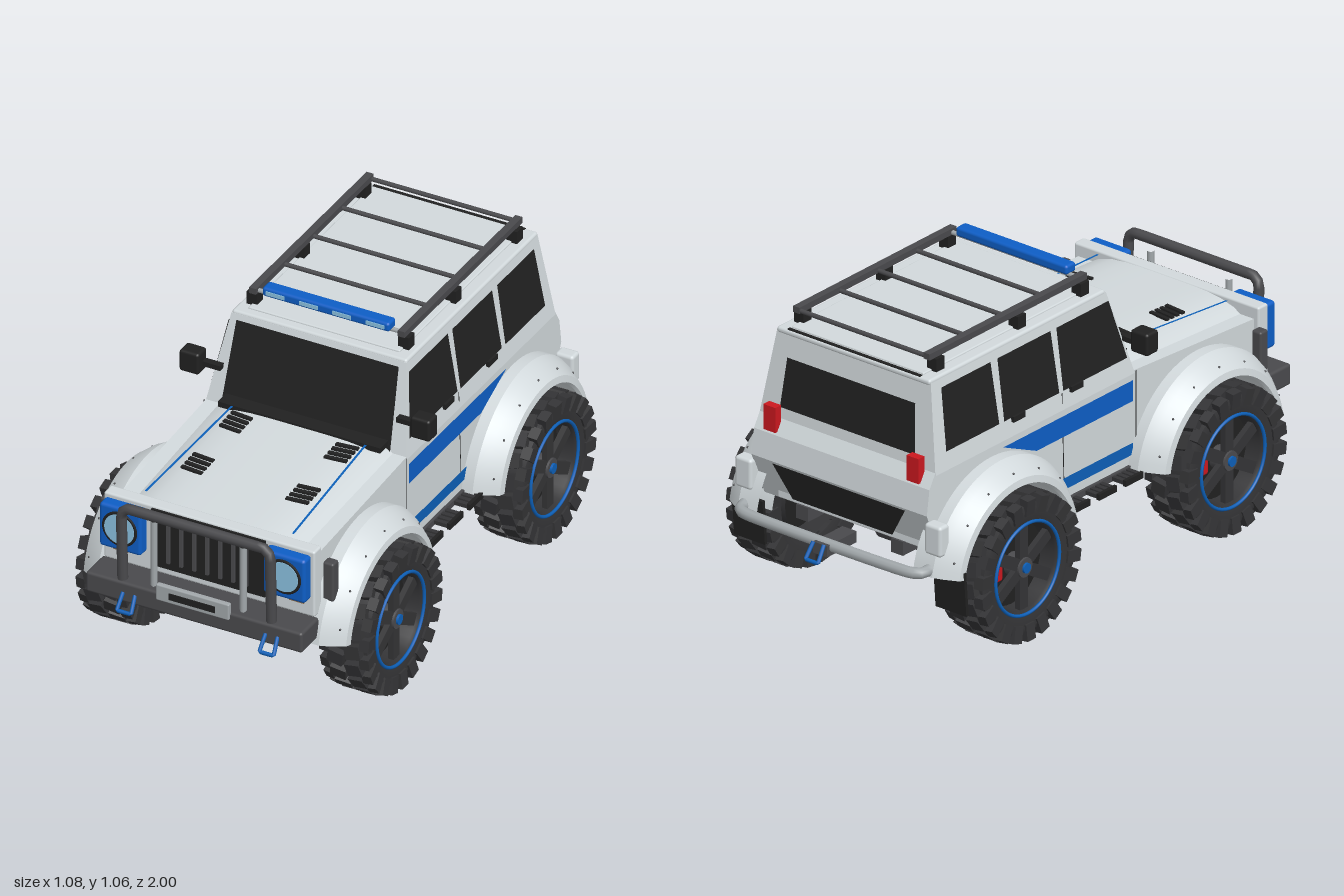
import * as THREE from 'three';
import { mergeGeometries, toCreasedNormals } from 'three/addons/utils/BufferGeometryUtils.js';
import { RoundedBoxGeometry } from 'three/addons/geometries/RoundedBoxGeometry.js';

const mat = (name, color, side = THREE.FrontSide) => {
  const m = new THREE.MeshStandardMaterial({ color, side });
  m.name = name;
  return m;
};

export function createModel() {
  const car = new THREE.Group();
  car.name = 'offRoadCar';
  const D = THREE.DoubleSide;
  const paint = mat('palePaint', 0xd2d9dc, D), blue = mat('blue', 0x0e5ec6, D), accent = mat('accentBlue', 0x0d60b8, D);
  const black = mat('black', 0x212121, D), dark = mat('darkMetal', 0x4a4a4d, D), rubber = mat('rubber', 0x343436, D);
  const grey = mat('greyMetal', 0xa2a8ab), lamp = mat('lampGlass', 0x8cc2e2), red = mat('red', 0xcc181f), bronze = mat('bronze', 0x8f6c4a);

  const add = (name, geo, m, x = 0, y = 0, z = 0, parent = car) => {
    const mesh = new THREE.Mesh(geo, m);
    mesh.name = name;
    mesh.position.set(x, y, z);
    parent.add(mesh);
    return mesh;
  };
  const box = (name, m, w, h, d, x, y, z, r = 0) =>
    add(name, r ? new RoundedBoxGeometry(w, h, d, 2, r) : new THREE.BoxGeometry(w, h, d), m, x, y, z);
  const both = (f) => [1, -1].forEach(f);
  const tube = (name, m, pts, r, tension = 0.05) => add(name, new THREE.TubeGeometry(
    new THREE.CatmullRomCurve3(pts.map((p) => new THREE.Vector3(...p)), false, 'catmullrom', tension), pts.length * 8, r, 10), m);
  // Thin four-cornered plate given by its corners
  const plate = (name, m, pts) => {
    const g = new THREE.BufferGeometry();
    g.setAttribute('position', new THREE.Float32BufferAttribute(pts.flat(), 3));
    g.setIndex([0, 1, 2, 0, 2, 3]);
    g.computeVertexNormals();
    return add(name, g, m);
  };

  // Lower body with wheel arches cut out, drawn as (z, y)
  const s = new THREE.Shape();
  const a = Math.asin(0.1 / 0.28);
  s.moveTo(-0.825, 0.36);
  s.absarc(-0.525, 0.26, 0.28, Math.PI - a, a, true);
  s.absarc(0.52, 0.26, 0.28, Math.PI - a, a, true);
  [[0.82, 0.38], [0.82, 0.62], [0.2, 0.66], [-0.81, 0.66], [-0.84, 0.61], [-0.853, 0.52]].forEach((p) => s.lineTo(...p));
  const tub = new THREE.ExtrudeGeometry(s, { depth: 0.74, bevelEnabled: false, curveSegments: 24 });
  tub.rotateY(-Math.PI / 2).translate(0.37, 0, 0);
  add('lowerBody', tub, paint);
  box('innerBody', paint, 0.6, 0.22, 1.6, 0, 0.48, 0);

  // Cabin tapering to the roof
  const sideX = (y) => 0.37 - (y - 0.66) * 0.155;
  const frontZ = (y) => 0.2 - (y - 0.66) * 0.29;
  const rearZ = (y) => -0.81 + (y - 0.66) * 0.11;
  const cabin = new THREE.BoxGeometry(1, 1, 1);
  const cp = cabin.attributes.position;
  for (let i = 0; i < cp.count; i++) {
    const y = cp.getY(i) > 0 ? 0.96 : 0.65;
    cp.setXYZ(i, Math.sign(cp.getX(i)) * sideX(y), y, cp.getZ(i) > 0 ? frontZ(y) : rearZ(y));
  }
  cabin.computeVertexNormals();
  add('cabin', cabin, paint);
  box('roof', paint, 0.648, 0.022, 0.895, 0, 0.958, -0.335, 0.01);
  box('roofCrown', paint, 0.56, 0.012, 0.84, 0, 0.969, -0.34, 0.005);
  box('rearRoofSlot', black, 0.56, 0.006, 0.012, 0, 0.968, -0.772);

  // Glass
  const e = 0.005;
  const across = (name, m, y0, y1, w0, w1, zAt) => plate(name, m,
    [[-w0, y0, zAt(y0)], [w0, y0, zAt(y0)], [w1, y1, zAt(y1)], [-w1, y1, zAt(y1)]]);
  across('windscreen', black, 0.665, 0.943, 0.312, 0.3, (y) => frontZ(y) + e);
  across('rearWindow', black, 0.7, 0.875, 0.285, 0.27, (y) => rearZ(y) - e);
  across('rearLowerPanel', black, 0.4, 0.515, 0.21, 0.28, (y) => -0.829 - (y - 0.36) * 0.175);
  box('cowl', black, 0.6, 0.02, 0.075, 0, 0.69, 0.212);
  both((k) => {
    const side = (name, m, q) => plate(name, m, q.map(([z, y]) => [k * ((y > 0.66 ? sideX(y) : 0.37) + e), y, z]));
    side('frontDoorWindow', black, [[0.17, 0.715], [-0.155, 0.715], [-0.15, 0.93], [0.115, 0.93]]);
    side('rearDoorWindow', black, [[-0.175, 0.715], [-0.455, 0.715], [-0.45, 0.93], [-0.18, 0.93]]);
    side('cargoWindow', black, [[-0.48, 0.715], [-0.75, 0.715], [-0.735, 0.93], [-0.485, 0.93]]);
    side('sideStripe', blue, [[0.19, 0.555], [-0.3, 0.555], [-0.47, 0.63], [0.19, 0.63]]);
    side('sillStripe', accent, [[0.19, 0.363], [-0.2, 0.363], [-0.2, 0.405], [0.19, 0.405]]);
    side('frontDoorSeam', black, [[0.207, 0.4], [0.203, 0.4], [0.203, 0.66], [0.207, 0.66]]);
    side('middleDoorSeam', black, [[-0.16, 0.4], [-0.164, 0.4], [-0.164, 0.71], [-0.16, 0.71]]);
    for (const z of [-0.09, -0.385]) box('doorHandle', black, 0.016, 0.02, 0.06, k * 0.366, 0.708, z);
    // Mirrors, lamps and corner blocks
    box('mirror', black, 0.073, 0.08, 0.06, k * 0.427, 0.79, 0.185, 0.01);
    box('mirrorArm', black, 0.09, 0.018, 0.025, k * 0.37, 0.783, 0.175);
    box('tailLight', red, 0.05, 0.09, 0.03, k * 0.302, 0.665, -0.829);
    box('rearCornerBlock', paint, 0.07, 0.11, 0.05, k * 0.4, 0.445, -0.838, 0.012);
    box('headlightFrame', blue, 0.155, 0.165, 0.05, k * 0.303, 0.572, 0.885, 0.012);
    const ring = add('headlightRing', new THREE.TorusGeometry(0.059, 0.006, 8, 32), black, k * 0.303, 0.575, 0.911);
    ring.scale.z = 0.6;
    add('headlight', new THREE.CylinderGeometry(0.055, 0.057, 0.008, 32).rotateX(Math.PI / 2), lamp, k * 0.303, 0.575, 0.911);
    box('turnSignal', bronze, 0.055, 0.02, 0.01, k * 0.325, 0.47, 0.86);
    box('fenderLamp', dark, 0.04, 0.145, 0.04, k * 0.412, 0.53, 0.79, 0.008);
    box('mudFlap', black, 0.13, 0.16, 0.012, k * 0.425, 0.255, -0.797).rotation.x = -0.08;
    // Hood trim and vents
    plate('hoodStripe', accent, [[0.243, 0.698, 0.25], [0.251, 0.698, 0.25], [0.276, 0.664, 0.79], [0.268, 0.664, 0.79]]
      .map(([x, y, z]) => [k * x, y, z]));
    for (const z0 of [0.28, 0.54]) for (let i = 0; i < 4; i++)
      box('hoodVent', black, 0.08, 0.008, 0.014, k * 0.195, 0.695 - (z0 + i * 0.026 - 0.25) * 0.06, z0 + i * 0.026).rotation.y = k * 0.1;
    // Sills and side steps
    box('sill', paint, 0.04, 0.035, 0.45, k * 0.35, 0.345, 0);
    box('sillRail', dark, 0.04, 0.022, 0.5, k * 0.36, 0.318, 0);
    for (const z of [-0.15, -0.015, 0.12]) {
      for (const d of [-0.036, -0.012, 0.012, 0.036]) box('stepBar', rubber, 0.085, 0.014, 0.016, k * 0.395, 0.318, z + d);
      box('stepEdge', black, 0.012, 0.022, 0.09, k * 0.434, 0.318, z);
    }
  });

  // Hood, crowned and falling away at the sides
  const hood = new THREE.BoxGeometry(0.72, 0.06, 0.63, 12, 1, 6);
  const hp = hood.attributes.position;
  for (let i = 0; i < hp.count; i++) {
    const x = hp.getX(i), z = hp.getZ(i) + 0.515, n = Math.abs(x) / 0.36, t = (z - 0.2) / 0.63;
    hp.setXYZ(i, x * (1 - 0.05 * t), hp.getY(i) > 0 ? 0.696 - 0.036 * t - 0.06 * n ** 5 : 0.6, z);
  }
  hood.computeVertexNormals();
  add('hood', toCreasedNormals(hood, 0.6), paint);

  // Grille and front bumper
  box('grillePanel', paint, 0.78, 0.25, 0.05, 0, 0.54, 0.835, 0.008);
  box('grille', black, 0.42, 0.215, 0.01, 0, 0.55, 0.862);
  for (let i = -3; i <= 3; i++) box('grilleSlat', dark, 0.011, 0.17, 0.012, i * 0.048, 0.555, 0.87);
  box('grilleCrossbar', dark, 0.33, 0.01, 0.012, 0, 0.625, 0.87);
  box('frontBumper', dark, 0.8, 0.076, 0.12, 0, 0.375, 0.905, 0.01);
  box('skidPlate', dark, 0.36, 0.05, 0.08, 0, 0.318, 0.8);
  tube('bullBar', dark, [[-0.275, 0.4, 0.94], [-0.275, 0.665, 0.95], [-0.25, 0.69, 0.95], [0.25, 0.69, 0.95], [0.275, 0.665, 0.95], [0.275, 0.4, 0.94]], 0.018);
  both((k) => tube('innerBar', grey, [[k * 0.165, 0.4, 0.93], [k * 0.165, 0.66, 0.93]], 0.012));
  box('winchPlate', grey, 0.27, 0.06, 0.02, 0, 0.42, 0.965, 0.005);
  box('winchSlot', black, 0.17, 0.024, 0.008, 0, 0.418, 0.974);
  const hook = (name, x, y, z, dir) => tube(name, accent, [[x - 0.022, y + 0.03, z], [x - 0.026, y - 0.022, z + dir * 0.035],
    [x + 0.026, y - 0.022, z + dir * 0.035], [x + 0.022, y + 0.03, z]], 0.007);
  for (const x of [-0.24, 0.287]) hook('frontTowHook', x, 0.345, 0.962, 1);

  // Rear bumper and hitch
  tube('rearBumper', grey, [[-0.4, 0.38, -0.78], [-0.39, 0.34, -0.86], [-0.33, 0.335, -0.915], [0.33, 0.335, -0.915], [0.39, 0.34, -0.86], [0.4, 0.38, -0.78]], 0.02, 0.3);
  box('hitch', dark, 0.06, 0.04, 0.15, 0, 0.325, -0.875);
  hook('rearTowHook', 0, 0.32, -0.957, -1);

  // Roof rack and light bar
  both((k) => {
    box('rackRail', dark, 0.026, 0.022, 0.8, k * 0.275, 1.026, -0.34);
    for (const z of [0.035, -0.285, -0.7]) box('rackFoot', black, 0.04, 0.05, 0.04, k * 0.28, 0.99, z);
  });
  for (const z of [0.04, -0.14, -0.335, -0.53, -0.73])
    add('rackCrossbar', new THREE.CylinderGeometry(0.008, 0.008, 0.55, 10).rotateZ(Math.PI / 2), z > 0 ? grey : dark, 0, 1.022, z);
  box('lightBar', blue, 0.47, 0.034, 0.05, 0, 1.041, 0.045, 0.01);
  for (let i = 0; i < 4; i++) box('lightBarLamp', lamp, 0.068, 0.014, 0.006, -0.185 + i * 0.123, 1.041, 0.07);

  // Underside
  box('floorPlate', black, 0.6, 0.05, 0.52, 0, 0.335, 0);
  both((k) => box('frameRail', dark, 0.05, 0.05, 1.6, k * 0.2, 0.34, 0));
  const barX = (name, m, r, len, x, y, z) => add(name, new THREE.CylinderGeometry(r, r, len, 20).rotateZ(Math.PI / 2), m, x, y, z);
  for (const z of [0.52, -0.525]) {
    barX('axle', dark, 0.03, 0.84, 0, 0.265, z);
    barX('differential', dark, 0.055, 0.155, 0, 0.248, z);
  }
  add('differentialCover', new THREE.CylinderGeometry(0.04, 0.04, 0.05, 24).rotateX(Math.PI / 2), bronze, 0, 0.258, 0.552);
  barX('muffler', dark, 0.045, 0.3, 0, 0.32, -0.33);
  tube('steeringLink', grey, [[0.22, 0.325, 0.6], [0.36, 0.28, 0.6]], 0.013);
  box('winchMotor', black, 0.17, 0.07, 0.025, -0.355, 0.297, 0.795);

  // Wheels, built around the y axis and then turned outwards
  const V = (p) => p.map((q) => new THREE.Vector2(...q));
  const tyreGeo = toCreasedNormals(new THREE.LatheGeometry(V([[0.165, -0.07], [0.21, -0.08], [0.23, -0.074], [0.237, 0], [0.23, 0.074], [0.21, 0.08], [0.165, 0.07]]), 48), 0.7);
  const lugs = [], N = 22;
  for (let i = 0; i < N; i++) for (const h of [-1, 1]) {
    const turn = ((i + (h > 0 ? 0.5 : 0)) / N) * Math.PI * 2;
    lugs.push(new THREE.BoxGeometry(0.03, 0.056, 0.05).rotateX(h * 0.2).translate(0.243, h * 0.032, 0).rotateY(turn));
    lugs.push(new THREE.BoxGeometry(0.058, 0.034, 0.042).rotateZ(h * 0.12).translate(0.225, h * 0.071, 0).rotateY(turn + Math.PI / N));
  }
  const lugGeo = mergeGeometries(lugs);
  const spokeGeo = mergeGeometries([0, 1, 2, 3, 4, 5].map((i) =>
    new THREE.BoxGeometry(0.135, 0.02, 0.042).translate(0.09, 0.048, 0).rotateY((i * Math.PI) / 3)));
  const rimGeo = new THREE.LatheGeometry(V([[0.145, -0.07], [0.15, 0.06], [0.167, 0.072]]), 40);
  // Fender flare cross-section as (radius, outward distance)
  const flareGeo = toCreasedNormals(new THREE.LatheGeometry(V([[0.355, 0.33], [0.355, 0.41], [0.34, 0.44], [0.305, 0.485],
    [0.282, 0.49], [0.275, 0.48], [0.275, 0.33]]), 32, Math.PI + 0.17, Math.PI - 0.34), 0.45).rotateZ(-Math.PI / 2);
  for (const z of [0.52, -0.525]) both((k) => {
    const wheel = new THREE.Group();
    wheel.name = 'wheel';
    wheel.position.set(k * 0.45, 0.26, z);
    wheel.rotation.z = (-k * Math.PI) / 2;
    car.add(wheel);
    add('tyre', tyreGeo, rubber, 0, 0, 0, wheel);
    add('tread', lugGeo, rubber, 0, 0, 0, wheel);
    add('rim', rimGeo, rubber, 0, 0, 0, wheel);
    add('brakeDisc', new THREE.CylinderGeometry(0.147, 0.147, 0.01, 32), black, 0, 0, 0, wheel);
    add('spokes', spokeGeo, rubber, 0, 0, 0, wheel);
    add('rimRing', new THREE.TorusGeometry(0.162, 0.006, 8, 48).rotateX(Math.PI / 2), accent, 0, 0.073, 0, wheel);
    add('hub', new THREE.CylinderGeometry(0.034, 0.04, 0.06, 20), dark, 0, 0.035, 0, wheel);
    add('hubCap', new THREE.CylinderGeometry(0.018, 0.018, 0.01, 16), accent, 0, 0.068, 0, wheel);
    box('brakeCaliper', red, 0.03, 0.072, 0.042, k * 0.471, 0.27, z + k * 0.1, 0.008);
    const flare = add('fenderFlare', flareGeo, paint, 0, 0, z);
    flare.position.y = 0.26;
    flare.rotation.y = k > 0 ? 0 : Math.PI;
    for (let i = 0; i < 7; i++) {
      const t = 0.35 + (i * (Math.PI - 0.7)) / 6;
      add('fenderRivet', new THREE.SphereGeometry(0.004, 8, 6), dark, k * 0.464, 0.26 + 0.322 * Math.sin(t), z + 0.322 * Math.cos(t));
    }
  });
  return car;
}
